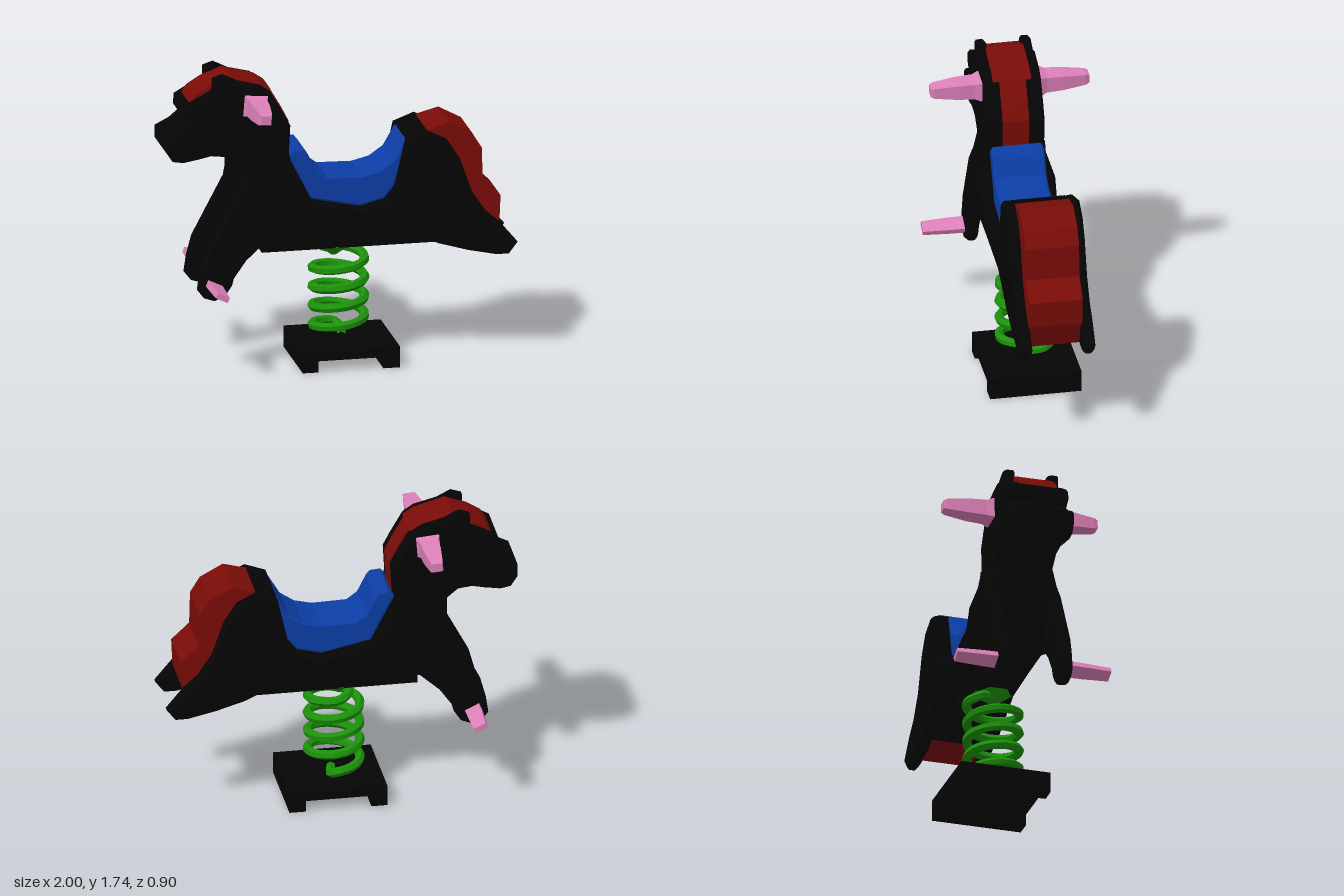
import * as THREE from 'three';

const BLACK = 0x050505, RED = 0x7a0c08, BLUE = 0x0c3ea6, GREEN = 0x1c920a, PINK = 0xdd80b8;

const material = (color) => new THREE.MeshStandardMaterial({ color, flatShading: true });

function part(name, geometry, color) {
  const mesh = new THREE.Mesh(geometry, material(color));
  mesh.name = name;
  return mesh;
}

// Side outline extruded from z0 to z1, with edges chamfered inward
function slab(name, outline, z0, z1, color, bevel = 0) {
  const shape = new THREE.Shape(outline.map(([x, y]) => new THREE.Vector2(x, y)));
  const geometry = new THREE.ExtrudeGeometry(shape, {
    depth: z1 - z0 - 2 * bevel,
    bevelEnabled: bevel > 0,
    bevelThickness: bevel,
    bevelSize: bevel,
    bevelOffset: -bevel,
    bevelSegments: 1,
  });
  geometry.translate(0, 0, z0 + bevel);
  return part(name, geometry, color);
}

// Four-sided tapering peg pointing along +z or -z
function peg(name, x, y, side, profile, flatten, tilt) {
  const geometry = new THREE.LatheGeometry(profile.map(([r, d]) => new THREE.Vector2(r * Math.SQRT2, d)), 4);
  geometry.rotateY(Math.PI / 4).rotateX(side * Math.PI / 2);
  geometry.scale(1, flatten, 1).rotateZ(tilt).translate(x, y, 0);
  return part(name, geometry, PINK);
}

// Slope the shoulder of a side panel in to meet the neck
function blendShoulder(mesh) {
  const pos = mesh.geometry.attributes.position;
  for (let i = 0; i < pos.count; i++) {
    if (pos.getX(i) < -0.25 && pos.getY(i) > 1.12) {
      pos.setZ(i, THREE.MathUtils.clamp(pos.getZ(i), -0.168, 0.168));
    }
  }
  return mesh;
}

export function createModel() {
  const model = new THREE.Group();

  // Ground base: plate on two runners
  model.add(slab('base', [
    [-0.24, 0], [-0.15, 0], [-0.15, 0.065], [0.22, 0.065], [0.22, 0],
    [0.315, 0], [0.315, 0.122], [-0.24, 0.122],
  ], -0.26, 0.26, BLACK));

  // Coil spring with ends turned in to the axis
  const path = [new THREE.Vector3(0.03, 0.13, 0.02), new THREE.Vector3(0.05, 0.145, -0.09)];
  for (let i = 0; i <= 64; i++) {
    const turn = 0.25 + i / 16, a = turn * Math.PI * 2;
    path.push(new THREE.Vector3(0.017 + 0.147 * Math.cos(a), 0.145 + 0.111 * turn, 0.004 - 0.147 * Math.sin(a)));
  }
  path.push(new THREE.Vector3(-0.06, 0.635, -0.07), new THREE.Vector3(0, 0.64, 0.02));
  const coil = new THREE.CatmullRomCurve3(path);
  model.add(part('spring', new THREE.TubeGeometry(coil, 140, 0.027, 6), GREEN));
  const mount = new THREE.CylinderGeometry(0.11, 0.015, 0.07, 6);
  mount.translate(-0.01, 0.64, 0);
  model.add(part('springMount', mount, GREEN));

  // Belly plate
  model.add(slab('bellyPlate', [[-0.44, 0.67], [0.56, 0.67], [0.56, 0.84], [-0.44, 0.84]], -0.1, 0.1, BLACK));

  // Saddle hollow shared by body core and side panels, from rump to shoulder
  const saddleLine = [
    [0.37, 1.3], [0.31, 1.03], [0.25, 0.955], [0.11, 0.92],
    [-0.17, 0.98], [-0.22, 1.08], [-0.29, 1.22],
  ];

  // Solid middle of the body
  model.add(slab('bodyCore', [
    [-0.59, 1.1], [-0.52, 0.9], [-0.42, 0.79], [-0.25, 0.83], [0.3, 0.815], [0.56, 0.7], [0.74, 0.7],
    [0.74, 0.92], [0.62, 1.25], [0.49, 1.34], ...saddleLine, [-0.5, 1.25],
  ], -0.155, 0.155, BLACK));

  // Side panels with front and hind legs
  const panel = [
    [-0.6, 1.05], [-0.69, 0.88], [-0.78, 0.71], [-0.81, 0.6], [-0.825, 0.5], [-0.79, 0.455],
    [-0.73, 0.435], [-0.67, 0.46], [-0.63, 0.52], [-0.62, 0.56], [-0.55, 0.66], [-0.44, 0.76],
    [-0.25, 0.83], [0, 0.825], [0.3, 0.81], [0.55, 0.69], [0.72, 0.64], [0.88, 0.605],
    [0.95, 0.605], [1, 0.67], [0.9, 0.79], [0.82, 0.86], [0.74, 0.98], [0.67, 1.18],
    [0.6, 1.29], [0.49, 1.345], ...saddleLine, [-0.3, 1.27], [-0.58, 1.2],
  ];
  model.add(blendShoulder(slab('leftPanel', panel, 0.145, 0.213, BLACK, 0.018)));
  model.add(blendShoulder(slab('rightPanel', panel, -0.213, -0.145, BLACK, 0.018)));

  // Neck and head
  model.add(slab('head', [
    [-1, 1.38], [-1, 1.31], [-0.96, 1.25], [-0.9, 1.24], [-0.81, 1.255], [-0.74, 1.27], [-0.66, 1.26],
    [-0.6, 1.21], [-0.6, 1.05], [-0.5, 0.88], [-0.25, 0.9], [-0.3, 1.2], [-0.288, 1.42], [-0.33, 1.5],
    [-0.4, 1.62], [-0.46, 1.66], [-0.6, 1.695], [-0.72, 1.65], [-0.82, 1.6], [-0.89, 1.56],
    [-0.895, 1.5], [-0.86, 1.47], [-0.92, 1.42],
  ], -0.165, 0.165, BLACK, 0.015));

  // Mane: wide forelock and narrower strip down the neck
  model.add(slab('forelock', [
    [-0.87, 1.56], [-0.83, 1.62], [-0.75, 1.67], [-0.63, 1.715], [-0.45, 1.665],
    [-0.39, 1.625], [-0.5, 1.55], [-0.8, 1.52],
  ], -0.11, 0.11, RED, 0.006));
  model.add(slab('neckMane', [
    [-0.45, 1.668], [-0.395, 1.63], [-0.325, 1.51], [-0.282, 1.425], [-0.292, 1.18], [-0.4, 1.18], [-0.5, 1.55],
  ], -0.075, 0.075, RED));

  // Saddle
  model.add(slab('saddle', [
    [-0.305, 1.24], [-0.27, 1.28], [-0.21, 1.275], [-0.19, 1.25], [-0.14, 1.15], [-0.08, 1.105],
    [0.12, 1.1], [0.22, 1.125], [0.3, 1.18], [0.37, 1.3], [0.34, 1.14], [0.31, 1.03],
    [0.25, 0.955], [0.11, 0.92], [-0.17, 0.98], [-0.22, 1.08],
  ], -0.148, 0.148, BLUE, 0.012));

  // Tail
  model.add(slab('tail', [
    [0.49, 1.345], [0.62, 1.38], [0.75, 1.31], [0.805, 1.22], [0.81, 1.03], [0.912, 0.935],
    [0.905, 0.78], [0.84, 0.62], [0.7, 0.72], [0.66, 0.95], [0.58, 1.22],
  ], -0.153, 0.153, RED));

  // Ears, handles and foot rests on both sides
  const ear = [[-0.75, 1.58], [-0.73, 1.66], [-0.73, 1.715], [-0.67, 1.735], [-0.6, 1.7], [-0.52, 1.66], [-0.5, 1.58]];
  const handle = [[0, 0.14], [0.066, 0.14], [0.066, 0.17], [0.054, 0.205], [0.05, 0.3], [0.036, 0.43], [0.028, 0.45], [0, 0.45]];
  const rest = [[0, 0.18], [0.045, 0.18], [0.043, 0.3], [0.037, 0.45], [0, 0.45]];
  for (const [label, side] of [['left', 1], ['right', -1]]) {
    model.add(slab(label + 'Ear', ear, side > 0 ? 0.1 : -0.155, side > 0 ? 0.155 : -0.1, BLACK, 0.01));
    model.add(peg(label + 'Handle', -0.49, 1.552, side, handle, 0.9, -0.08));
    model.add(peg(label + 'FootRest', -0.737, 0.53, side, rest, 0.42, -0.45));
  }
  return model;
}
